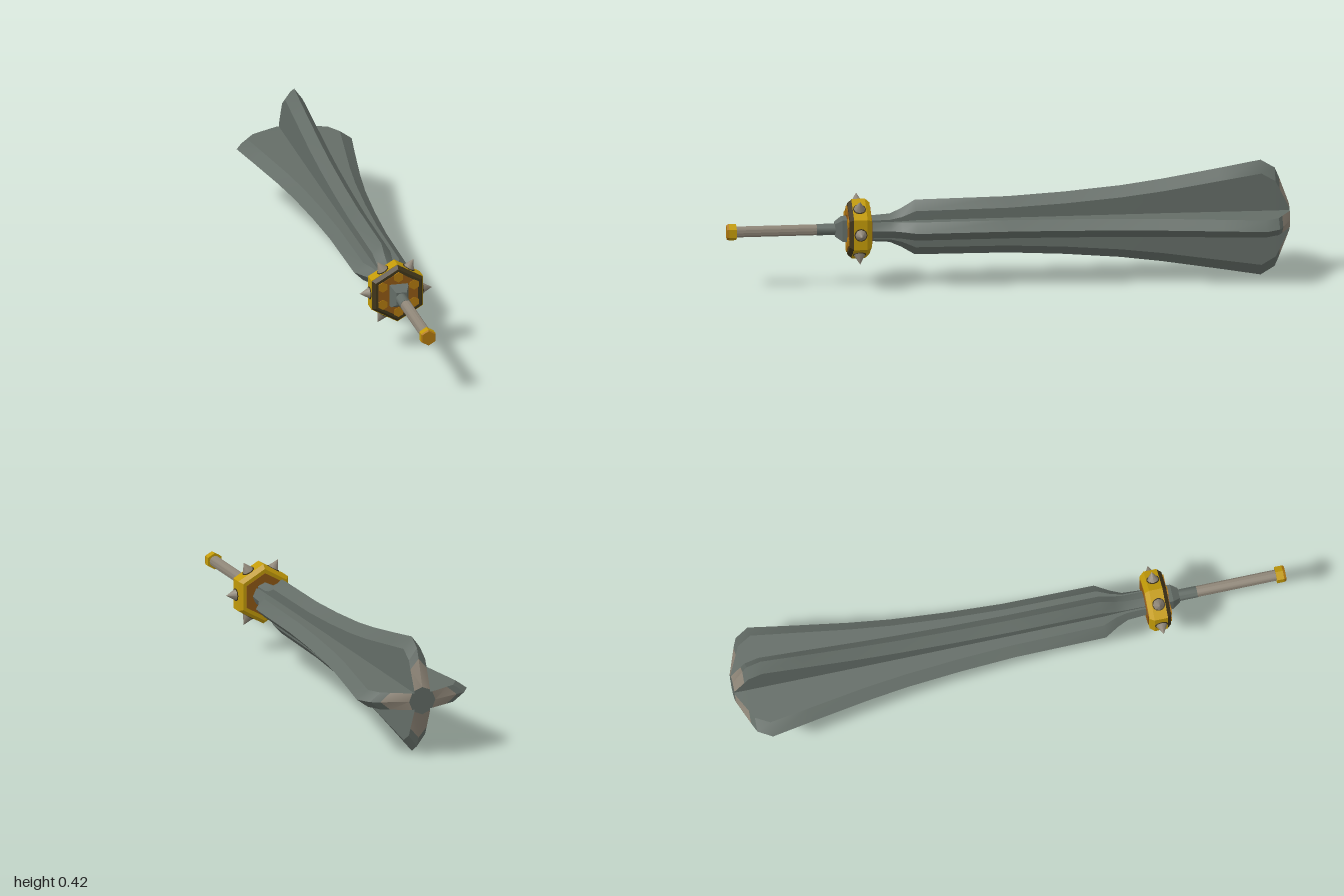
import * as THREE from 'three';
import { toCreasedNormals } from 'three/addons/utils/BufferGeometryUtils.js';

const AXIS_Y = 0.213;

function material(name, color) {
  const m = new THREE.MeshStandardMaterial({ color });
  m.name = name;
  return m;
}

export function createModel() {
  const steel = material('steel', 0x646d67);
  const worn = material('worn metal', 0x8f8678);
  const gold = material('gold', 0xc29a08);
  const bronze = material('bronze', 0x8f5814);
  const amber = material('amber', 0xb0780f);
  const dark = material('dark rim', 0x40351a);

  const model = new THREE.Group();
  model.name = 'finnedMace';
  const body = new THREE.Group();
  body.name = 'weapon';
  body.position.y = AXIS_Y;
  model.add(body);

  function add(name, geometry, mat, parent = body) {
    const mesh = new THREE.Mesh(geometry, mat);
    mesh.name = name;
    parent.add(mesh);
    return mesh;
  }

  // Prism or frustum along z, from z0 (back) to z1 (front)
  function drum(name, mat, z0, z1, r0, r1, sides = 6, turn = 0, parent = body) {
    const g = new THREE.CylinderGeometry(r1, r0, z1 - z0, sides, 1);
    g.rotateY(turn).rotateX(Math.PI / 2).translate(0, 0, (z0 + z1) / 2);
    return add(name, toCreasedNormals(g, sides > 8 ? 0.9 : 0.4), mat, parent);
  }

  // Blade rings: z, tip radius, shoulder radius, half thickness
  const rings = [
    [0.52, 0.045, 0.034, 0.028],
    [0.42, 0.052, 0.036, 0.028],
    [0.38, 0.07, 0.045, 0.03],
    [0.33, 0.1, 0.066, 0.033],
    [0.0, 0.103, 0.069, 0.033],
    [-0.2, 0.114, 0.079, 0.033],
    [-0.4, 0.131, 0.095, 0.033],
    [-0.55, 0.151, 0.113, 0.033],
    [-0.75, 0.184, 0.144, 0.032],
    [-0.9, 0.21, 0.167, 0.031],
    [-0.95, 0.18, 0.138, 0.031],
    [-0.965, 0.145, 0.108, 0.031],
    [-1.0, 0.05, 0.038, 0.03],
  ];

  // Four-finned cross-section, anticlockwise seen from the front
  function section([z, r, s, t]) {
    const points = [];
    for (let k = 0; k < 4; k++) {
      for (const [x, y] of [[s, -t], [r, 0], [s, t], [0.033, 0.033]]) {
        const v = Math.min(t, 0.033);
        const p = x === y ? new THREE.Vector3(v, v, z) : new THREE.Vector3(x, y, z);
        points.push(p.applyAxisAngle(new THREE.Vector3(0, 0, 1), k * Math.PI / 2));
      }
    }
    return points;
  }

  const steelFaces = [], wornFaces = [];
  const sections = rings.map(section);
  const n = sections[0].length;
  for (let i = 0; i < sections.length - 1; i++) {
    for (let j = 0; j < n; j++) {
      const k = (j + 1) % n;
      const a = sections[i][j], b = sections[i][k];
      const c = sections[i + 1][k], d = sections[i + 1][j];
      // Bevels at the far corners are scuffed
      const scuffed = i === sections.length - 2 && j % 4 < 2;
      (scuffed ? wornFaces : steelFaces).push(a, d, c, a, c, b);
    }
  }
  const last = sections[sections.length - 1];
  const end = new THREE.Vector3(0, 0, -1);
  for (let j = 0; j < n; j++) steelFaces.push(end, last[(j + 1) % n], last[j]);
  const surface = (faces) =>
    toCreasedNormals(new THREE.BufferGeometry().setFromPoints(faces), 0.5);
  add('blade', surface(steelFaces), steel);
  add('bladeScuffs', surface(wornFaces), worn);

  // Hexagonal guard
  const guard = new THREE.Group();
  guard.name = 'guard';
  body.add(guard);
  drum('guardBack', gold, 0.492, 0.508, 0.095, 0.109, 6, 0, guard);
  drum('guardBody', gold, 0.508, 0.556, 0.109, 0.109, 6, 0, guard);
  drum('guardFrontRim', dark, 0.556, 0.57, 0.107, 0.095, 6, 0, guard);
  drum('guardFrontFace', bronze, 0.567, 0.573, 0.083, 0.083, 6, 0, guard);
  drum('guardBackFace', bronze, 0.489, 0.495, 0.08, 0.08, 6, 0, guard);

  for (let k = 0; k < 6; k++) {
    // Amber spots at the corners of the front face
    const corner = Math.PI / 6 + k * Math.PI / 3;
    const spot = drum('guardSpot', amber, 0.571, 0.575, 0.019, 0.019, 6, 0, guard);
    spot.position.set(Math.cos(corner) * 0.066, Math.sin(corner) * 0.066, 0);

    // A spike in a dark socket on every side
    const spike = new THREE.Group();
    spike.name = 'spike';
    spike.rotation.z = k * Math.PI / 3 - Math.PI / 2;
    spike.position.z = 0.532;
    guard.add(spike);
    const socket = new THREE.CylinderGeometry(0.023, 0.023, 0.008, 12);
    add('spikeSocket', toCreasedNormals(socket.translate(0, 0.093, 0), 0.9), dark, spike);
    const cone = new THREE.ConeGeometry(0.021, 0.036, 8);
    add('spikePoint', toCreasedNormals(cone.translate(0, 0.114, 0), 0.9), worn, spike);
  }

  // Collar, grip and pommel
  const collar = drum('collar', steel, 0.57, 0.59, 0.052, 0.05, 4, Math.PI / 4);
  collar.scale.set(0.9, 1.1, 1);
  const taper = drum('collarTaper', steel, 0.59, 0.615, 0.05, 0.03, 4, Math.PI / 4);
  taper.scale.copy(collar.scale);
  drum('gripNeck', steel, 0.6, 0.68, 0.021, 0.021, 12);
  drum('grip', worn, 0.68, 0.97, 0.02, 0.02, 12);
  drum('pommel', gold, 0.966, 0.992, 0.03, 0.03);
  drum('pommelCap', amber, 0.992, 1.0, 0.03, 0.027);

  return model;
}
